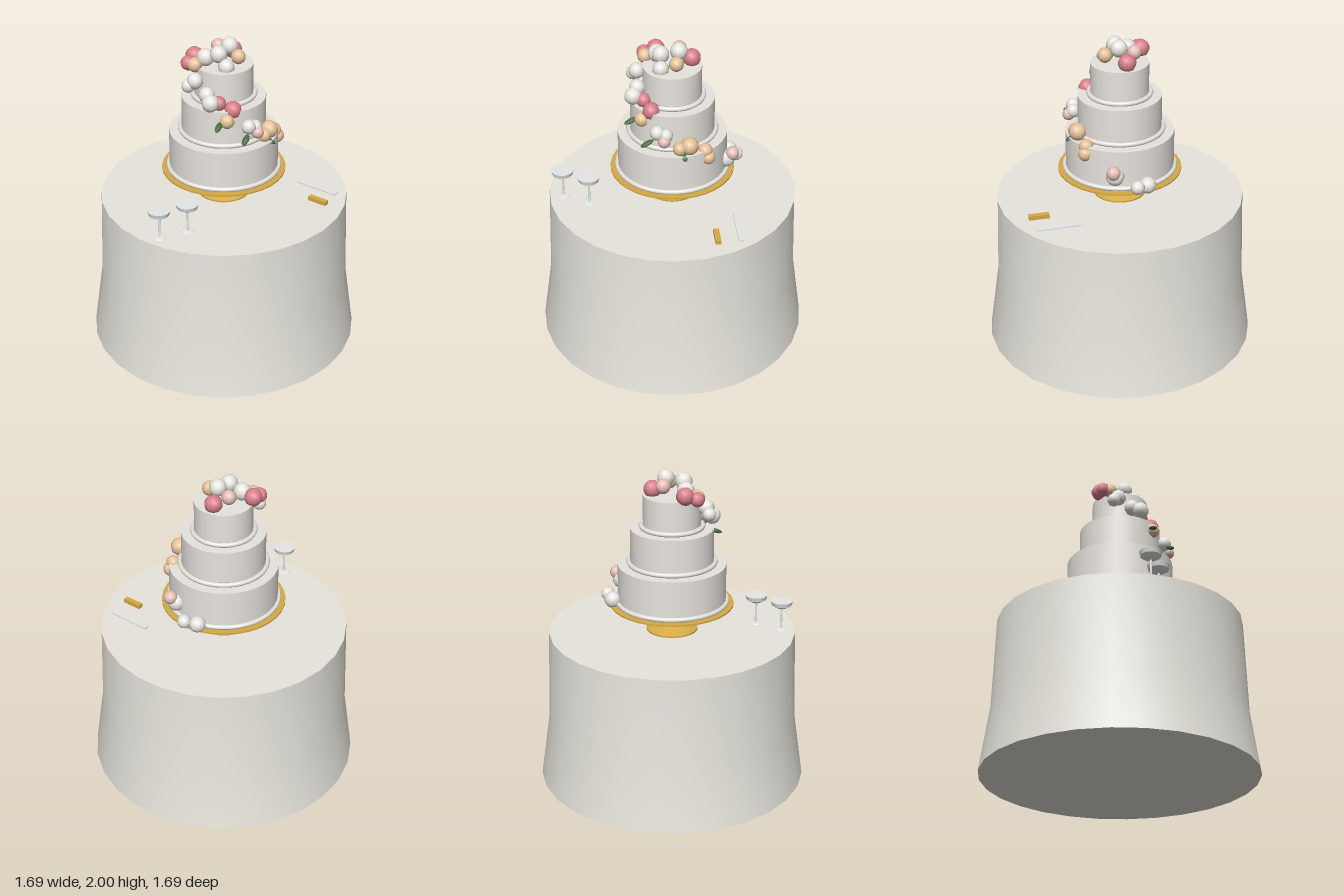
import * as THREE from 'three';
import { toCreasedNormals } from 'three/addons/utils/BufferGeometryUtils.js';

const mat = (name, color) => {
  const m = new THREE.MeshStandardMaterial({ color });
  m.name = name;
  return m;
};

export function createModel() {
  const M = {
    linen: mat('linen', 0xf0eee6),
    icing: mat('icing', 0xeeebe5),
    gold: mat('gold', 0xd6aa45),
    glass: mat('glass', 0xe6e8e8),
    white: mat('white petal', 0xf2f0ea),
    rose: mat('rose petal', 0xd9808c),
    blush: mat('blush petal', 0xe8c0b8),
    peach: mat('peach petal', 0xebc69c),
    leaf: mat('leaf green', 0x456f3c),
  };
  const model = new THREE.Group();
  model.name = 'weddingCakeTable';

  const add = (name, geometry, material, parent = model) => {
    const mesh = new THREE.Mesh(geometry, material);
    mesh.name = name;
    parent.add(mesh);
    return mesh;
  };
  const group = (name) => {
    const g = new THREE.Group();
    g.name = name;
    model.add(g);
    return g;
  };
  // Turned shape from [radius, height] points, bottom to top, with sharp rims
  const turned = (points, sides) => toCreasedNormals(
    new THREE.LatheGeometry(points.map(([r, y]) => new THREE.Vector2(r, y)), sides), 0.5);

  // Round table under a floor-length cloth
  const TOP = 0.975;
  add('tablecloth', turned([[0, 0], [0.843, 0], [0.785, 0.4], [0.766, TOP], [0, TOP]], 28), M.linen);

  // Footed gold cake stand
  add('cakeStand', turned([
    [0, TOP], [0.16, TOP], [0.16, 0.985], [0.065, 1.02], [0.045, 1.105],
    [0.075, 1.105], [0.382, 1.145], [0.382, 1.155], [0, 1.155],
  ], 32), M.gold);

  // Three tiers, each with a round piped bead at its foot
  const cake = group('cake');
  [[0.334, 1.155, 1.41, 1.17, 0.34], [0.256, 1.41, 1.642, 1.425, 0.266], [0.177, 1.64, 1.85, 1.655, 0.188]]
    .forEach(([r, y0, y1, beadY, beadR], i) => {
      add(`tier${i + 1}`, new THREE.CylinderGeometry(r, r, y1 - y0, 32).translate(0, (y0 + y1) / 2, 0), M.icing, cake);
      add(`bead${i + 1}`, new THREE.TorusGeometry(beadR, 0.015, 8, 40).rotateX(Math.PI / 2).translate(0, beadY, 0), M.icing, cake);
    });

  // Flowers spilling from the top down to the stand: kind, x, y, z, radius
  const flowers = group('flowers');
  [
    ['rose', -0.15, 1.885, -0.09, 0.055],
    ['rose', -0.21, 1.865, -0.05, 0.045],
    ['rose', 0.095, 1.885, -0.07, 0.055],
    ['blush', 0.005, 1.92, -0.09, 0.045],
    ['white', -0.11, 1.895, -0.02, 0.055],
    ['white', 0.04, 1.948, -0.005, 0.053],
    ['white', -0.055, 1.93, 0.045, 0.053],
    ['white', -0.03, 1.865, 0.1, 0.05],
    ['peach', 0.06, 1.905, 0.075, 0.045],
    ['peach', -0.185, 1.865, -0.01, 0.045],
    ['white', -0.21, 1.79, 0.05, 0.05],
    ['white', -0.245, 1.757, 0.03, 0.042],
    ['white', -0.17, 1.725, 0.13, 0.05],
    ['white', -0.172, 1.695, 0.185, 0.053],
    ['rose', -0.11, 1.675, 0.17, 0.045],
    ['rose', -0.04, 1.64, 0.215, 0.053],
    ['peach', -0.09, 1.585, 0.24, 0.045],
    ['white', 0.03, 1.545, 0.285, 0.045],
    ['white', 0.08, 1.53, 0.27, 0.042],
    ['blush', 0.082, 1.505, 0.3, 0.038],
    ['peach', 0.205, 1.455, 0.207, 0.055],
    ['peach', 0.155, 1.44, 0.24, 0.042],
    ['peach', 0.275, 1.4, 0.135, 0.045],
    ['peach', 0.295, 1.36, 0.135, 0.045],
    ['blush', 0.372, 1.292, -0.06, 0.043],
    ['white', 0.335, 1.25, -0.06, 0.055],
    ['white', 0.343, 1.2, -0.2, 0.043],
    ['white', 0.275, 1.19, -0.245, 0.052],
  ].forEach(([kind, x, y, z, r]) => {
    add(`${kind}Flower`, new THREE.SphereGeometry(r, 10, 7), M[kind], flowers).position.set(x, y, z);
  });

  // Leaves, each pointing out and down: position, direction
  [
    [[-0.153, 1.57, 0.26], [-0.06, -0.03, 0.06]],
    [[-0.013, 1.49, 0.335], [-0.05, -0.03, 0.045]],
    [[0.185, 1.405, 0.25], [0.05, -0.03, 0.05]],
  ].forEach(([p, d]) => {
    const leaf = add('leaf', new THREE.SphereGeometry(1, 8, 5).scale(0.02, 0.013, 0.045), M.leaf, flowers);
    leaf.position.set(...p);
    leaf.lookAt(p[0] + d[0], p[1] + d[1], p[2] + d[2]);
  });

  // Two shallow stemmed glasses, filled to the rim
  for (const x of [-0.58, -0.4]) {
    add('champagneGlass', turned([
      [0, TOP], [0.038, TOP], [0.036, 0.979], [0.007, 0.985], [0.007, 1.115],
      [0.03, 1.118], [0.062, 1.138], [0.069, 1.165], [0, 1.165],
    ], 20), M.glass).position.set(x, 0, 0.355);
  }

  // Cake knife lying on the cloth
  const knife = group('cakeKnife');
  const bar = (name, size, x, z, material) => {
    const mesh = add(name, new THREE.BoxGeometry(...size), material, knife);
    mesh.position.set(x, TOP + size[1] / 2, z);
    mesh.rotation.y = -1.06;
  };
  bar('knifeHandle', [0.125, 0.026, 0.034], 0.462, 0.382, M.gold);
  bar('knifeBlade', [0.275, 0.009, 0.034], 0.538, 0.23, M.glass);

  return model;
}
